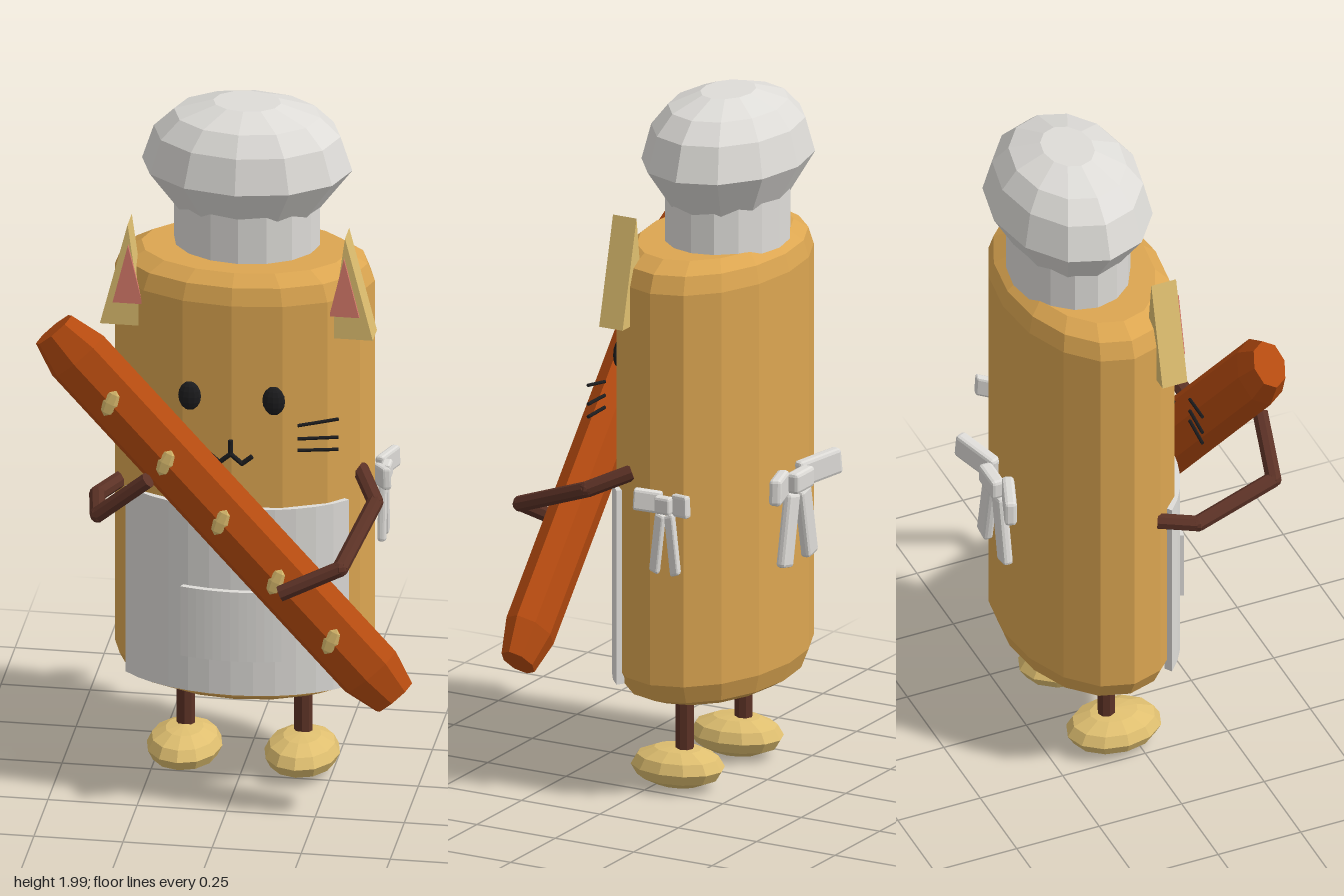
import * as THREE from 'three';
import { RoundedBoxGeometry } from 'three/addons/geometries/RoundedBoxGeometry.js';

const mat = (name, color) => {
  const m = new THREE.MeshStandardMaterial({ color });
  m.name = name;
  return m;
};

export function createModel() {
  const model = new THREE.Group();
  const fur = mat('golden fur', 0xdca651);
  const pale = mat('pale fur', 0xdfbf70);
  const white = mat('white cloth', 0xdedcd8);
  const crust = mat('bread crust', 0xb84c10);
  const brown = mat('dark brown', 0x5c3226);
  const pink = mat('inner ear pink', 0xd97c6c);
  const black = mat('black', 0x1c1c1e);

  // Faceted mesh with one normal per face
  const add = (name, geometry, material, parent = model) => {
    const g = geometry.index ? geometry.toNonIndexed() : geometry;
    g.computeVertexNormals();
    const mesh = new THREE.Mesh(g, material);
    mesh.name = name;
    parent.add(mesh);
    return mesh;
  };
  const lathe = (pts, sides) =>
    new THREE.LatheGeometry(pts.map(([r, y]) => new THREE.Vector2(r, y)), sides);

  // Straight rods through a list of points, with round joints
  const rods = (name, pts, r, material) => {
    const group = new THREE.Group();
    group.name = name;
    model.add(group);
    const v = pts.map(p => new THREE.Vector3(...p));
    for (let i = 0; i + 1 < v.length; i++) {
      const d = v[i + 1].clone().sub(v[i]);
      const rod = add(name + 'Segment', new THREE.CylinderGeometry(r, r, d.length(), 8), material, group);
      rod.position.copy(v[i]).addScaledVector(d, 0.5);
      rod.quaternion.setFromUnitVectors(new THREE.Vector3(0, 1, 0), d.normalize());
      if (i > 0) add(name + 'Joint', new THREE.SphereGeometry(r, 8, 6), material, group).position.copy(v[i]);
    }
  };

  // Body: an oval loaf with bevelled ends
  const CZ = -0.083;
  const body = add('body', lathe([[0, 0.28], [0.27, 0.28], [0.335, 0.305], [0.365, 0.36],
    [0.365, 1.5], [0.345, 1.55], [0.29, 1.58], [0, 1.58]], 16), fur);
  body.scale.z = 0.65;
  body.position.z = CZ;

  // Chef hat: band and puff
  const band = add('hatBand', new THREE.CylinderGeometry(0.205, 0.205, 0.2, 16), white);
  band.scale.z = 0.81;
  band.position.set(0, 1.64, -0.123);
  const puff = add('hatPuff', lathe([[0, 1.67], [0.2, 1.685], [0.295, 1.81], [0.262, 1.91],
    [0.205, 1.965], [0.095, 2.0], [0, 2.0]], 12), white);
  puff.scale.z = 0.755;
  puff.position.z = -0.125;

  // Curved cloth panel that wraps the front of the body
  const panel = (name, rx, rz, thick, spread, y0, y1) => {
    const shape = new THREE.Shape();
    const n = 12;
    for (let i = 0; i <= 2 * n + 1; i++) {
      const outer = i <= n;
      const a = spread * (outer ? (2 * i) / n - 1 : 1 - (2 * (i - n - 1)) / n);
      const t = outer ? 0 : thick;
      const x = (rx - t) * Math.sin(a), y = -(CZ + (rz - t) * Math.cos(a));
      if (i) shape.lineTo(x, y); else shape.moveTo(x, y);
    }
    shape.closePath();
    const g = new THREE.ExtrudeGeometry(shape, { depth: y1 - y0, bevelEnabled: false });
    g.rotateX(-Math.PI / 2);
    g.translate(0, y0, 0);
    add(name, g, white);
  };
  panel('apron', 0.373, 0.251, 0.025, 1.0, 0.325, 0.89);
  panel('apronPocket', 0.385, 0.267, 0.025, 0.378, 0.435, 0.645);

  // Ears, legs, feet, eyes and whiskers on both sides
  const prism = (pts, depth, s) => {
    const shape = new THREE.Shape(pts.map(([x, y]) => new THREE.Vector2(x * s, y)));
    return new THREE.ExtrudeGeometry(shape, { depth, bevelEnabled: false });
  };
  for (const s of [-1, 1]) {
    const side = s > 0 ? 'left' : 'right';
    add(side + 'Ear', prism([[0.305, 1.69], [0.263, 1.385], [0.383, 1.385]], 0.075, s), pale).position.z = -0.006;
    add(side + 'InnerEar', prism([[0.303, 1.63], [0.262, 1.455], [0.346, 1.455]], 0.009, s), pink).position.z = 0.069;
    add(side + 'Leg', new THREE.CylinderGeometry(0.026, 0.026, 0.22, 8), brown).position.set(s * 0.165, 0.2, -0.08);
    const foot = add(side + 'Foot', new THREE.SphereGeometry(1, 12, 6), pale);
    foot.scale.set(0.106, 0.059, 0.139);
    foot.position.set(s * 0.165, 0.068, -0.058);
    const eye = add(side + 'Eye', new THREE.SphereGeometry(1, 12, 8), black);
    eye.scale.set(0.032, 0.043, 0.017);
    eye.position.set(s * 0.118, 1.22, 0.151);
    for (const [y0, y1] of [[1.155, 1.178], [1.115, 1.123], [1.08, 1.086]])
      rods(side + 'Whisker', [[s * 0.187, y0, 0.163], [s * 0.3, y1, 0.151]], 0.005, black);
  }

  // Mouth and nose line
  rods('mouth', [[-0.06, 1.055, 0.168], [-0.032, 1.032, 0.17], [0, 1.06, 0.172],
    [0.032, 1.032, 0.17], [0.06, 1.055, 0.168]], 0.007, black);
  rods('noseLine', [[0, 1.055, 0.171], [0, 1.1, 0.169]], 0.007, black);

  // Arms wrapped around the bread
  rods('leftArm', [[0.335, 0.96, -0.01], [0.395, 0.91, 0.1], [0.335, 0.812, 0.347], [0.17, 0.735, 0.37]], 0.023, brown);
  rods('rightArm', [[-0.335, 0.885, 0], [-0.385, 0.88, 0.1], [-0.345, 0.93, 0.347], [-0.2, 1.055, 0.37]], 0.023, brown);

  // Baguette held diagonally, with slashes along its front
  const bread = new THREE.Group();
  bread.name = 'baguette';
  bread.position.set(-0.002, 0.925, 0.275);
  bread.rotation.z = 0.738;
  model.add(bread);
  const loaf = add('loaf', lathe([[0, -0.71], [0.068, -0.71], [0.097, -0.61], [0.097, 0.61],
    [0.068, 0.71], [0, 0.71]], 8), crust, bread);
  loaf.scale.z = 0.67;
  for (let i = -2; i <= 2; i++) {
    const slash = add('breadSlash', new THREE.SphereGeometry(1, 6, 4), pale, bread);
    slash.scale.set(0.022, 0.043, 0.008);
    slash.position.set(0, -i * 0.23, 0.062);
    slash.rotation.z = -1.15;
  }

  // Apron bows: knot, two loops and two tails
  const bow = (name) => {
    const group = new THREE.Group();
    group.name = name;
    const piece = (part, w, h, d, x, y, z, ry, rz) => {
      const m = add(part, new RoundedBoxGeometry(w, h, d, 1, 0.01), white, group);
      m.position.set(x, y, z);
      m.rotation.set(0, ry, rz);
    };
    piece('bowKnot', 0.1, 0.06, 0.04, 0, 0, 0.035, 0, 0);
    for (const s of [-1, 1]) {
      piece('bowLoop', 0.15, 0.075, 0.035, s * 0.11, 0.005, 0.03, -s * 0.36, s * 0.1);
      piece('bowTail', 0.058, 0.21, 0.03, s * 0.05, -0.135, 0.025, 0, s * 0.2);
    }
    model.add(group);
    return group;
  };
  const back = bow('backBow');
  back.position.set(0, 0.9, -0.32);
  back.rotation.y = Math.PI;
  const sideBow = bow('sideBow');
  sideBow.position.set(0.362, 0.9, -0.14);
  sideBow.rotation.y = Math.PI / 2;
  sideBow.scale.set(0.48, 0.85, 0.75);

  return model;
}
